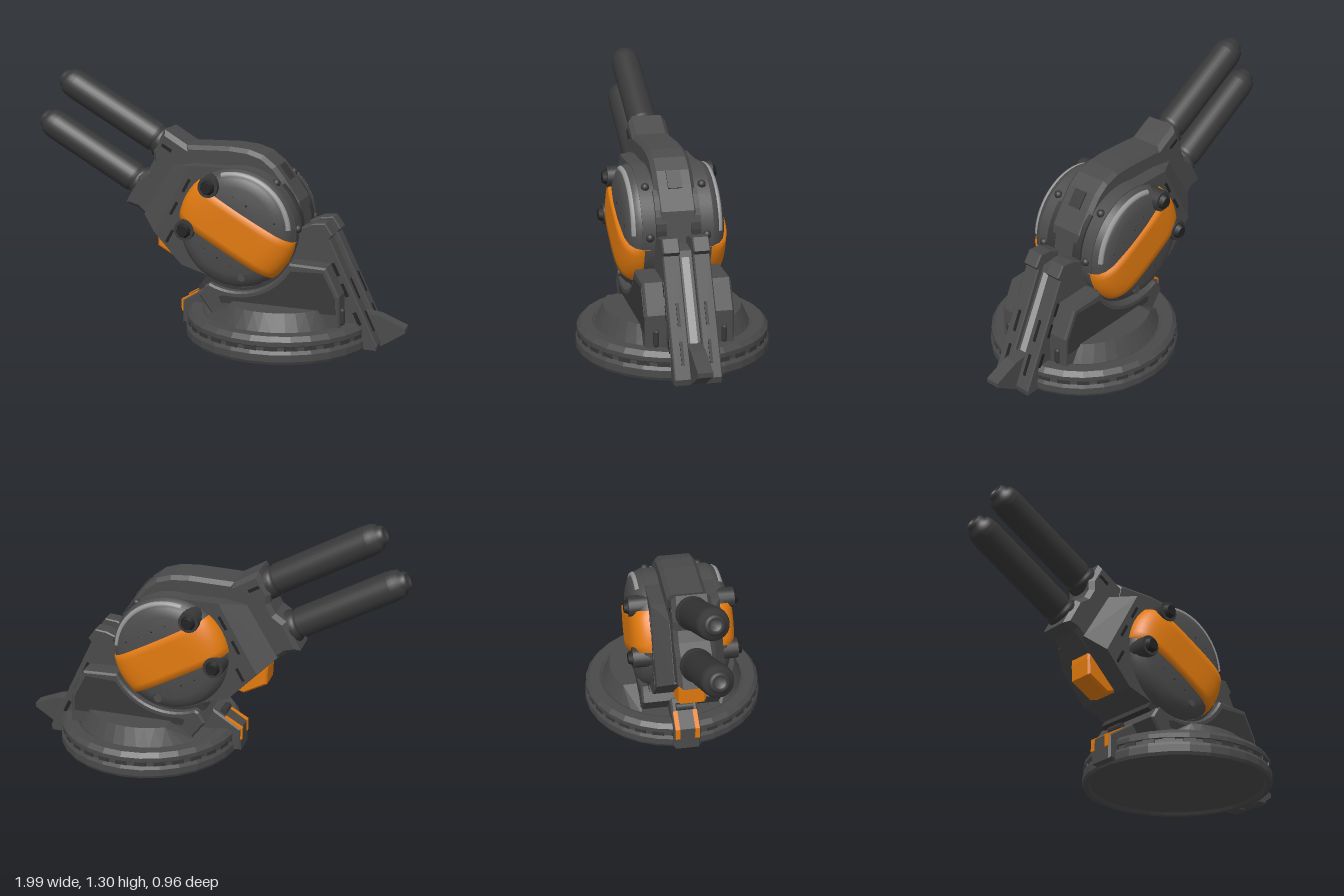
import * as THREE from 'three';
import { ConvexGeometry } from 'three/addons/geometries/ConvexGeometry.js';

const mat = (color, flatShading = false) =>
  new THREE.MeshStandardMaterial({ color, flatShading, side: THREE.DoubleSide });
const body = mat(0x4a4a4a, true), dark = mat(0x383838), black = mat(0x222222);
const shell = mat(0x4c4c4c), orange = mat(0xe27a0e), light = mat(0x9a9a9a);

const PIVOT = [0.17, 0.58], TILT = THREE.MathUtils.degToRad(29);

function add(parent, name, geometry, material, x = 0, y = 0, z = 0) {
  const m = new THREE.Mesh(geometry, material);
  m.name = name;
  m.position.set(x, y, z);
  parent.add(m);
  return m;
}

// Side profile extruded from z0 to z1, with an optional chamfer kept inside the outline
function slab(points, z0, z1, bevel = 0) {
  const g = new THREE.ExtrudeGeometry(new THREE.Shape(points.map(p => new THREE.Vector2(...p))), {
    depth: z1 - z0 - 2 * bevel, bevelEnabled: bevel > 0, bevelSize: bevel,
    bevelOffset: -bevel, bevelThickness: bevel, bevelSegments: 1,
  });
  return g.translate(0, 0, z0 + bevel);
}

// Points on a circle about the pivot, angles in degrees
function arc(r, a0, a1, n, [cx, cy] = PIVOT) {
  return Array.from({ length: n + 1 }, (_, i) => {
    const a = THREE.MathUtils.degToRad(a0 + (a1 - a0) * i / n);
    return [cx + r * Math.cos(a), cy + r * Math.sin(a)];
  });
}

const lathe = (pts, n) => new THREE.LatheGeometry(pts.map(p => new THREE.Vector2(...p)), n);
const zCylinder = (r0, r1, h, n) => new THREE.CylinderGeometry(r0, r1, h, n).rotateX(Math.PI / 2);

function makeBase() {
  const base = new THREE.Group();
  base.name = 'base';
  base.position.x = 0.345;
  add(base, 'turntable', lathe([[0, 0.015], [0.44, 0.015], [0.45, 0], [0.475, 0], [0.482, 0.015], [0.482, 0.05],
    [0.473, 0.067], [0.468, 0.067], [0.468, 0.085], [0.475, 0.09], [0.475, 0.112], [0.455, 0.135],
    [0.40, 0.135], [0.385, 0.125], [0, 0.125]], 30), body);
  // Studs in the rim groove
  for (let i = 0; i < 30; i++) {
    const a = (i + 0.5) / 30 * Math.PI * 2;
    const stud = add(base, 'rimStud', new THREE.BoxGeometry(0.012, 0.022, 0.06), dark,
      0.465 * Math.cos(a), 0.077, 0.465 * Math.sin(a));
    stud.rotation.y = -a;
  }
  // Curved blocks with sloping faces on both flanks
  for (const s of [-1, 1]) {
    const corners = [
      ...arc(0.385, 30, 146, 12, [0, 0]).map(([x, z]) => new THREE.Vector3(x, 0.12, s * z)),
      ...arc(0.342, 34, 121, 10, [0, 0]).map(([x, z]) => new THREE.Vector3(x, 0.215, s * z)),
      new THREE.Vector3(-0.175, 0.215, s * 0.18), new THREE.Vector3(0.28, 0.215, s * 0.18)];
    add(base, 'curvedBlock', new ConvexGeometry(corners), body);
  }
  return base;
}

function makeCradle() {
  const cradle = new THREE.Group();
  cradle.name = 'cradle';
  // Saddle under the drum
  add(cradle, 'saddle', slab([[0.06, 0.12], [-0.02, 0.225], [0.015, 0.28], ...arc(0.318, 245, 333, 14),
    [0.64, 0.43], [0.71, 0.29], [0.715, 0.12]], -0.215, 0.215, 0.01), body);
  add(cradle, 'saddleLip', slab([...arc(0.345, 238, 330, 14), ...arc(0.296, 330, 238, 14)], -0.175, 0.175), dark);
  // Rear spine made from two rails around a recessed core
  const rail = [...arc(0.3, 320, 362, 8), [0.54, 0.62], [0.605, 0.627], [0.645, 0.57], [0.63, 0.55],
    [0.88, 0.03], [0.875, 0], [0.81, 0], [0.79, 0.1], [0.5, 0.12], [0.4, 0.3]];
  for (const s of [-1, 1]) {
    const [a, b] = s > 0 ? [0.032, 0.115] : [-0.115, -0.032];
    add(cradle, 'spineRail', slab(rail, a, b, 0.006), body);
    for (const y of [0.14, 0.3]) {
      const slot = add(cradle, 'railSlot', new THREE.BoxGeometry(0.012, 0.11, 0.014), black,
        0.893 - y * 0.481, y, s * 0.068);
      slot.rotation.z = 0.448;
    }
    for (const y of [0.16, 0.3, 0.4]) {
      const vent = add(cradle, 'sideVent', new THREE.BoxGeometry(0.018, 0.07, 0.01), black,
        0.855 - y * 0.481, y, s * 0.114);
      vent.rotation.z = 0.448;
    }
    // Dark cheek plate on the saddle side
    add(cradle, 'cheekPlate', slab([[0.1, 0.2], [0.09, 0.232], ...arc(0.345, 262, 328, 10), [0.625, 0.405],
      [0.69, 0.28], [0.695, 0.2]], s * 0.215 - 0.003, s * 0.215 + 0.003), dark);
    add(cradle, 'rearPost', new THREE.CapsuleGeometry(0.014, 0.06, 3, 8), dark, 0.715, 0.18, s * 0.165);
  }
  add(cradle, 'spineCore', slab([[0.46, 0.5], [0.5, 0.57], [0.59, 0.56], [0.82, 0.1], [0.6, 0.1]],
    -0.034, 0.034), shell);
  add(cradle, 'coreStrip', slab([[0.6, 0.53], [0.607, 0.533], [0.797, 0.153], [0.78, 0.153]], -0.018, 0.018), light);
  add(cradle, 'tailFin', slab([[0.78, 0.17], [0.87, 0.16], [1, 0.108], [1, 0.085], [0.88, 0.005], [0.81, 0.02]],
    -0.036, 0.036), body);
  // Front bracket with its clamp
  add(cradle, 'frontBracket', slab([[-0.1, 0.01], [-0.168, 0.015], [-0.168, 0.14], [-0.09, 0.19], [-0.02, 0.235],
    [0.1, 0.235], [0.1, 0.1], [-0.1, 0.1]], -0.07, 0.07, 0.01), body);
  for (const s of [-1, 1])
    add(cradle, 'bracketTrim', slab([[-0.173, 0.08], [-0.173, 0.143], [-0.08, 0.197], [-0.08, 0.185], [-0.162, 0.138],
      [-0.162, 0.08]], s * 0.052 - 0.012, s * 0.052 + 0.012), orange);
  add(cradle, 'bracketPin', zCylinder(0.02, 0.02, 0.09, 10), dark, -0.065, 0.212, 0);
  return cradle;
}

// Side panel that follows the dome, with straight long edges turned in towards it
function domePanel() {
  const g = new THREE.PlaneGeometry(2, 2, 32, 8), p = g.attributes.position, R = 0.308;
  for (let i = 0; i < p.count; i++) {
    const row = p.getY(i), y = 0.106 * THREE.MathUtils.clamp(row * 4 / 3, -1, 1);
    const x = Math.sin(p.getX(i) * Math.PI / 2) * Math.sqrt(R * R - y * y);
    const r = Math.min(1, Math.hypot(x, y) / R);
    const drop = Math.abs(row) > 0.9 ? 0.03 : 0;
    p.setXYZ(i, x, y, 0.165 + 0.106 * Math.sqrt(1 - r ** 5) - drop);
  }
  g.computeVertexNormals();
  return g;
}

// Drum, housing and barrels; local -x is the firing direction
function makeGun() {
  const gun = new THREE.Group();
  gun.name = 'gun';
  gun.position.set(...PIVOT, 0);
  gun.rotation.z = -TILT;

  add(gun, 'drum', zCylinder(0.305, 0.305, 0.35, 48), shell);
  const hull = [];
  for (const s of [-1, 1]) {
    for (const [x, y] of [[0, -0.3], [-0.156, -0.335], [-0.36, -0.27], [-0.36, 0.14], [-0.1, 0.285]])
      hull.push(new THREE.Vector3(x, y, s * 0.175));
    hull.push(new THREE.Vector3(-0.47, -0.25, s * 0.1), new THREE.Vector3(-0.46, 0.06, s * 0.1));
  }
  add(gun, 'housing', new ConvexGeometry(hull), body);
  add(gun, 'barrelBlock', slab([[-0.59, -0.265], [-0.595, -0.1], [-0.565, -0.04], [-0.565, 0.02], [-0.59, 0.06],
    [-0.59, 0.19], [-0.44, 0.187], [-0.3, 0.2], [-0.3, -0.29], [-0.52, -0.25]], -0.098, 0.098, 0.022), body);
  // Ridge over the top of the drum
  add(gun, 'topRidge', slab([[-0.45, 0.187], [-0.25, 0.307], [-0.16, 0.348], [-0.08, 0.364], [0, 0.352],
    [0.07, 0.322], [0.19, 0.262], [0.29, 0.14], [0.2, 0], [-0.4, 0]].reverse(), -0.1, 0.1, 0.02), body);
  for (const s of [-1, 1])
    add(gun, 'ridgeStrip', slab([...arc(0.316, 75, 0, 12, [0, 0]), ...arc(0.29, 0, 75, 12, [0, 0])],
      s * 0.085 - 0.025, s * 0.085 + 0.025), dark);
  const hatch = add(gun, 'topHatch', new THREE.BoxGeometry(0.09, 0.02, 0.07), dark, 0.045, 0.33, 0);
  hatch.rotation.z = -0.42;

  // Twin barrels
  const barrel = lathe([[0, 0.4], [0.084, 0.4], [0.084, 0.6], [0.07, 0.61], [0.07, 0.625], [0.077, 0.635],
    [0.077, 1.14], [0.074, 1.145], [0.074, 1.165], [0.066, 1.19], [0.05, 1.197], [0.047, 1.215], [0.038, 1.226],
    [0.028, 1.226], [0.026, 1.215], [0, 1.215]], 28).rotateZ(Math.PI / 2);
  for (const y of [0.1, -0.152]) add(gun, 'barrel', barrel, dark, 0, y, 0);

  // Domed side, symmetric about the firing axis, repeated by a half turn
  for (const turn of [0, Math.PI]) {
    const side = new THREE.Group();
    side.name = 'drumSide';
    side.rotation.x = turn;
    gun.add(side);
    add(side, 'dome', lathe([[0.302, 0.165], [0.3, 0.18], [0.288, 0.208], [0.262, 0.232], [0.22, 0.248],
      [0.12, 0.259], [0, 0.263]], 48).rotateX(Math.PI / 2), shell);
    add(side, 'sidePanel', domePanel(), orange);
    for (const y of [-0.13, 0.13]) {
      add(side, 'boltCollar', zCylinder(0.052, 0.056, 0.1, 16), dark, -0.21, y, 0.22);
      add(side, 'boltHead', zCylinder(0.028, 0.04, 0.025, 8), black, -0.21, y, 0.28);
      for (const x of [-0.08, 0, 0.08, 0.16])
        add(side, 'rivet', new THREE.SphereGeometry(0.006, 8, 6), black, x, y * 1.2, 0.253 - Math.abs(x) * 0.06);
    }
  }
  for (const s of [-1, 1]) {
    // Pale strip along the rear upper edge of the dome
    const strip = add(gun, 'paleStrip', new THREE.TorusGeometry(0.276, 0.016, 6, 28, 1.73), light, 0, 0, s * 0.21);
    strip.rotation.z = 0.59;
    add(gun, 'drainPlug', zCylinder(0.02, 0.022, 0.06, 10), shell, 0.155, -0.177, s * 0.22);
    // Housing vents
    for (const [x, y] of [[-0.33, 0.04], [-0.33, -0.1], [-0.28, -0.24]])
      add(gun, 'housingVent', new THREE.BoxGeometry(0.014, 0.075, 0.008), black, x, y, s * 0.175);
    add(gun, 'blockVent', new THREE.BoxGeometry(0.06, 0.016, 0.008), black, -0.53, 0.12, s * 0.098);
    // Round fasteners on the drum rim
    for (const deg of [80, 32]) {
      const [[x, y]] = arc(0.305, deg, deg, 1, [0, 0]);
      add(gun, 'rimFastener', new THREE.SphereGeometry(0.021, 12, 8), dark, x, y, s * 0.14);
    }
  }

  // Slung box under the housing
  add(gun, 'slungBox', slab([[-0.4, -0.25], [-0.377, -0.3], [-0.333, -0.372], [-0.195, -0.37], [-0.15, -0.32],
    [-0.2, -0.25]], -0.07, 0.07, 0.01), orange);
  return gun;
}

export function createModel() {
  const model = new THREE.Group();
  model.name = 'turret';
  model.add(makeBase(), makeCradle(), makeGun());
  return model;
}
